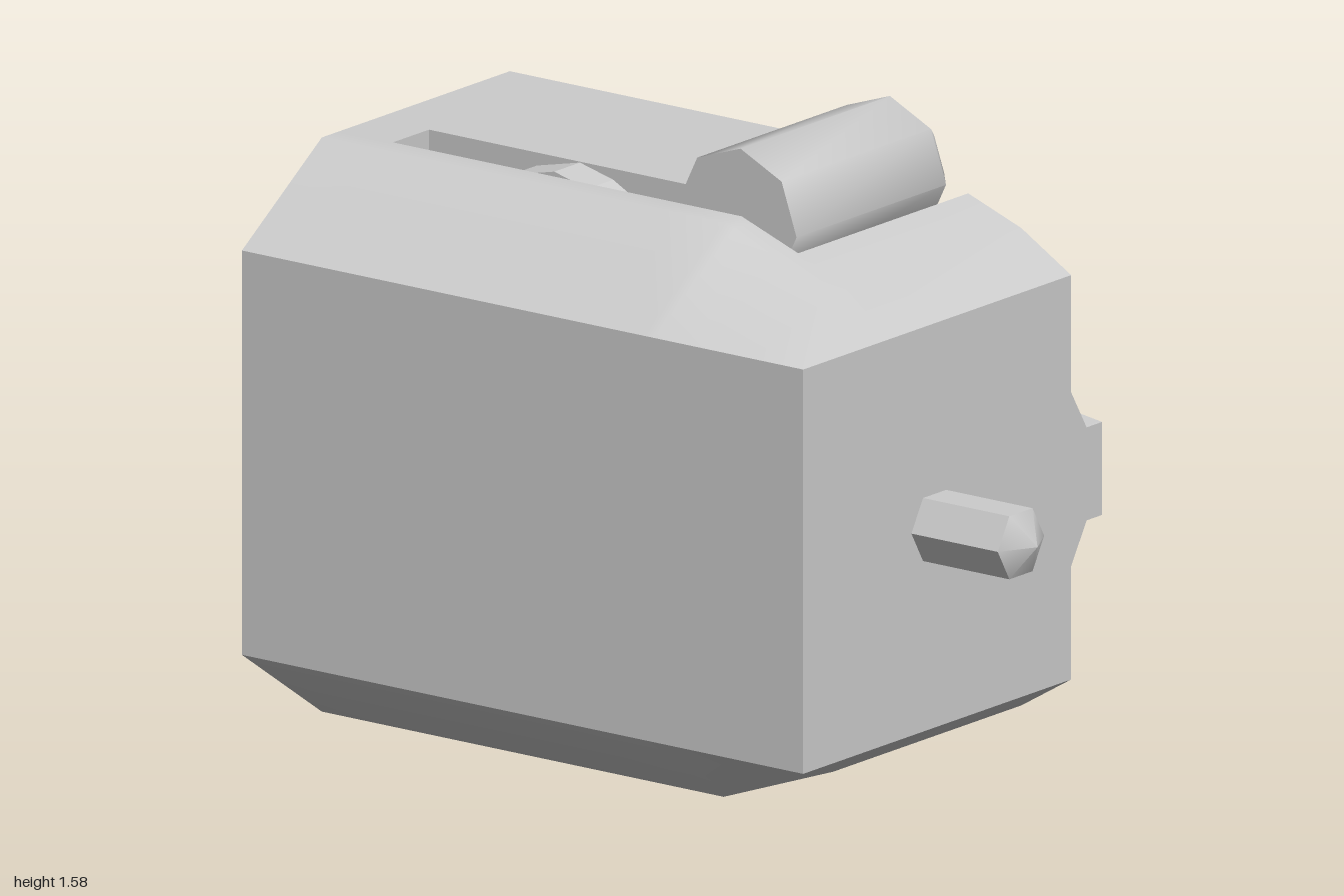
import * as THREE from 'three';
import { toCreasedNormals } from 'three/addons/utils/BufferGeometryUtils.js';

const material = () => new THREE.MeshStandardMaterial({ color: 0xcccccc });

// Taper of the right end: 0 along the straight part, 1 at the end face
function taper(x) {
  if (x <= 0.21) return 0;
  return x <= 0.54 ? (x - 0.21) / 0.33 * 0.57 : 0.57 + (x - 0.54) / 0.15 * 0.43;
}
const topAt = (x) => 1.42 - 0.21 * taper(x);

// Cross-section (z, y) at x; slotY and notchY are the floor heights of the cut-outs
function section(x, slotY = topAt(x), notchY = topAt(x)) {
  const k = taper(x), top = topAt(x);
  const rail = 0.165 - 0.05 * k, flare = 0.305 - 0.09 * k, mid = 0.705;
  const points = [
    [0.58, 0.21], [0.58, 1.21], [0.27, top],
    [0.2, top], [0.2, slotY], [0.06, slotY], [0.06, notchY], [-0.46, notchY],
    [-0.46, mid + flare], [-0.52, mid + rail], [-0.58, mid + rail],
    [-0.58, mid - rail], [-0.52, mid - rail], [-0.46, mid - flare],
    [-0.46, 0.21 * k], [0.27, 0.21 * k],
  ];
  return points.map(([z, y]) => new THREE.Vector3(x, y, z));
}

// Skin a list of closed sections and cap both ends
function loft(rings) {
  const positions = [];
  const tri = new THREE.Triangle();
  const add = (a, b, c) => {
    tri.set(a, b, c);
    if (tri.getArea() > 1e-7) for (const p of [a, b, c]) positions.push(p.x, p.y, p.z);
  };
  for (let i = 0; i < rings.length - 1; i++) {
    const r = rings[i], s = rings[i + 1];
    for (let j = 0; j < r.length; j++) {
      const n = (j + 1) % r.length;
      add(r[j], s[j], r[n]);
      add(s[j], s[n], r[n]);
    }
  }
  for (const [ring, side] of [[rings[0], -1], [rings[rings.length - 1], 1]]) {
    const pts = ring.filter((p, j) => p.distanceTo(ring[(j + 1) % ring.length]) > 1e-4);
    const flat = pts.map((p) => new THREE.Vector2(-p.z, p.y));
    for (const [a, b, c] of THREE.ShapeUtils.triangulateShape(flat, [])) {
      const ccw = THREE.ShapeUtils.area([flat[a], flat[b], flat[c]]) > 0;
      if (ccw === (side > 0)) add(pts[a], pts[b], pts[c]);
      else add(pts[a], pts[c], pts[b]);
    }
  }
  const geometry = new THREE.BufferGeometry();
  geometry.setAttribute('position', new THREE.Float32BufferAttribute(positions, 3));
  return toCreasedNormals(geometry, 0.7);
}

// Turned part with few sides, along +y, from [radius, height] points
function turned(points, sides, crease) {
  const profile = points.map(([r, y]) => new THREE.Vector2(r, y));
  return toCreasedNormals(new THREE.LatheGeometry(profile, sides), crease);
}

export function createModel() {
  const model = new THREE.Group();
  const add = (name, geometry) => {
    const mesh = new THREE.Mesh(geometry, material());
    mesh.name = name;
    model.add(mesh);
    return mesh;
  };

  // Housing: repeated x values make the upright ends of the slot
  add('housing', loft([
    section(-1), section(-0.84),
    section(-0.84, 1.3), section(-0.04, 1.3),
    section(0.02, 1.29, 1.29), section(0.21, 1.24, 1.24), section(0.24, 1.23, 1.23),
    section(0.38), section(0.54), section(0.69),
  ]));

  // Eight-sided roller lying across the notch, chamfered at the back
  const roller = add('roller', turned(
    [[0, 0], [0.18, 0], [0.18, 0.58], [0.12, 0.65], [0, 0.65]], 8, 0.8));
  roller.geometry.rotateY(0.06);
  roller.geometry.rotateX(-Math.PI / 2);
  roller.position.set(0.18, 1.4, 0.18);

  // Bent arm in the slot, joined to the roller
  const outline = [[-0.56, 1.28], [-0.56, 1.34], [-0.5, 1.395], [-0.37, 1.425], [-0.27, 1.4],
    [-0.12, 1.32], [0.06, 1.35], [0.06, 1.28]];
  const arm = new THREE.Shape(outline.map(([x, y]) => new THREE.Vector2(x, y)));
  add('arm', new THREE.ExtrudeGeometry(arm, { depth: 0.1, bevelEnabled: false }))
    .position.z = 0.08;

  // Six-sided peg with a pointed tip on the right end
  const peg = add('peg', turned([[0, 0], [0.09, 0], [0.09, 0.28], [0, 0.33]], 6, 0.9));
  peg.geometry.rotateZ(-Math.PI / 2);
  peg.position.set(0.67, 0.71, 0.07);

  return model;
}
